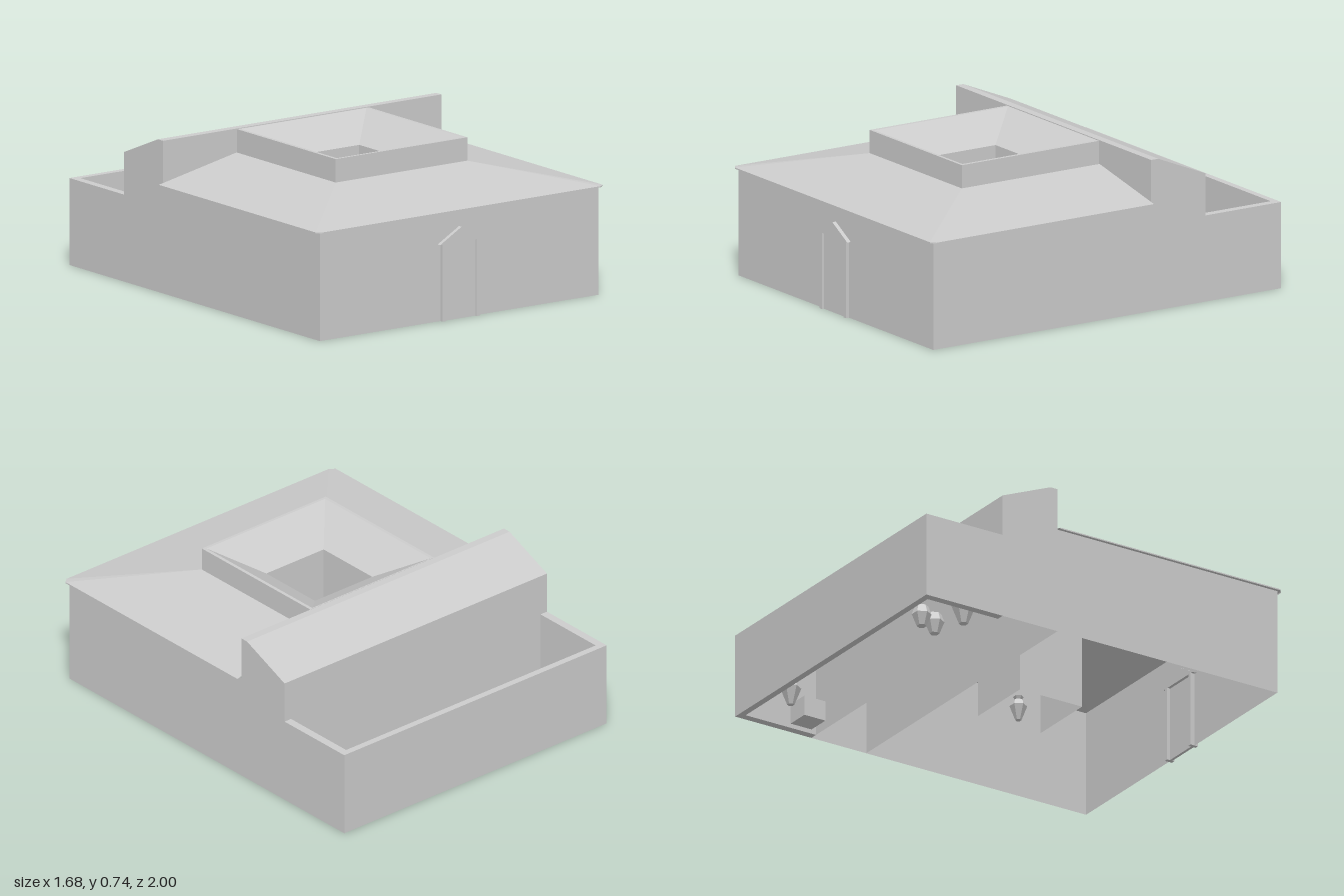
import * as THREE from 'three';

const mat = new THREE.MeshStandardMaterial({ color: 0xcccccc, flatShading: true, side: THREE.DoubleSide });

function add(parent, name, geometry, x = 0, y = 0, z = 0) {
  const mesh = new THREE.Mesh(geometry, mat);
  mesh.name = name;
  mesh.position.set(x, y, z);
  parent.add(mesh);
  return mesh;
}

// Skin a series of matching point chains with quads.
function loft(chains, closed) {
  const pos = [];
  for (let k = 0; k + 1 < chains.length; k++) {
    const a = chains[k], b = chains[k + 1], n = a.length;
    for (let i = 0; i < (closed ? n : n - 1); i++) {
      const j = (i + 1) % n;
      pos.push(...a[i], ...a[j], ...b[j], ...a[i], ...b[j], ...b[i]);
    }
  }
  const g = new THREE.BufferGeometry();
  g.setAttribute('position', new THREE.Float32BufferAttribute(pos, 3));
  g.computeVertexNormals();
  return g;
}

const rectRing = (hx, z0, z1, y) => [[-hx, y, z0], [-hx, y, z1], [hx, y, z1], [hx, y, z0]];
const polygon = (pts) => new THREE.Shape(pts.map(([x, y]) => new THREE.Vector2(x, y)));

// Six-sided jar, its profile scaled by radius and height.
function jar(parent, name, x, z, r, h, profile) {
  const pts = profile.map(([u, v]) => new THREE.Vector2(u * r, v * h));
  add(parent, name, new THREE.LatheGeometry(pts, 6, Math.PI / 6), x, 0, z);
}

export function createModel() {
  const house = new THREE.Group();
  house.name = 'courtyardHouse';
  const W = 0.815;

  // Side walls with the raised hall gable, mirrored
  const sideProfile = polygon([[0.98, 0], [0.98, 0.527], [-0.26, 0.527], [-0.26, 0.737],
    [-0.3, 0.737], [-0.57, 0.625], [-0.57, 0]]);
  for (const s of [-1, 1]) {
    const side = new THREE.Group();
    side.name = s < 0 ? 'rightWall' : 'leftWall';
    side.scale.x = -s;
    add(side, 'sideWall', new THREE.ShapeGeometry(sideProfile).rotateY(-Math.PI / 2), -W);
    house.add(side);
  }
  add(house, 'frontWall', new THREE.PlaneGeometry(2 * W, 0.527), 0, 0.2635, 0.98);

  // Rear hall: back wall, sloping roof, ridge and partition
  const hall = [[0, -0.57], [0.625, -0.57], [0.737, -0.3], [0.737, -0.26], [0, -0.26]];
  add(house, 'rearHall', loft([-W, W].map((x) => hall.map(([y, z]) => [x, y, z])), false));

  // Main roof, sloping up to the light well on three sides
  const eave = (y) => [[-0.84, y, -0.259], [-0.84, y, 0.98], [-0.815, y, 1], [0.815, y, 1], [0.84, y, 0.98], [0.84, y, -0.259]];
  const top = [[-0.385, 0.622, -0.259], [-0.385, 0.622, 0.525], [-0.385, 0.622, 0.525],
    [0.385, 0.622, 0.525], [0.385, 0.622, 0.525], [0.385, 0.622, -0.259]];
  add(house, 'mainRoof', loft([eave(0.522), eave(0.528), top], false));

  // Light well: raised collar, funnel and open shaft to the ground
  add(house, 'lightWell', loft([
    rectRing(0.385, -0.256, 0.525, 0.62), rectRing(0.385, -0.256, 0.525, 0.735),
    rectRing(0.368, -0.25, 0.51, 0.735), rectRing(0.178, 0.3 - 0.35, 0.3, 0.62),
    rectRing(0.178, -0.05, 0.3, 0),
  ], true));

  // Walled back yard, open to the sky
  const yard = polygon([[-W, 0.57], [-W, 1], [W, 1], [W, 0.57], [0.775, 0.57],
    [0.775, 0.967], [-0.775, 0.967], [-0.775, 0.57]]);
  add(house, 'yardWall', new THREE.ExtrudeGeometry(yard, { depth: 0.42, bevelEnabled: false }).rotateX(-Math.PI / 2));

  // Front door with posts and a gabled lintel
  const door = new THREE.Group();
  door.name = 'frontDoor';
  house.add(door);
  add(door, 'doorPanel', new THREE.BoxGeometry(0.18, 0.37, 0.014), 0, 0.185, 0.98);
  for (const s of [-1, 1]) add(door, 'doorPost', new THREE.BoxGeometry(0.02, 0.375, 0.04), s * 0.1, 0.1875, 0.978);
  const gable = polygon([[-0.125, 0.372], [0.125, 0.372], [0, 0.444]]);
  add(door, 'doorGable', new THREE.ExtrudeGeometry(gable, { depth: 0.04, bevelEnabled: false }), 0, 0, 0.96);

  // Jars and a block in the yard, one jar in the light well
  const amphora = [[0, 0], [0.35, 0], [1, 0.6], [0.85, 0.78], [0.4, 0.88], [0.6, 1], [0.45, 1], [0.25, 0.85], [0, 0.5]];
  const pot = [[0, 0], [0.5, 0], [1, 0.6], [0.7, 1], [0.55, 1], [0.55, 0.8], [0, 0.8]];
  jar(house, 'largeAmphora', -0.64, -0.675, 0.062, 0.17, amphora);
  jar(house, 'yardAmphora', 0.56, -0.855, 0.05, 0.14, amphora);
  jar(house, 'wellAmphora', 0.113, 0.133, 0.042, 0.12, amphora);
  jar(house, 'pot', -0.51, -0.825, 0.047, 0.1, pot);
  jar(house, 'pot', -0.473, -0.728, 0.047, 0.1, pot);
  add(house, 'yardBlock', new THREE.BoxGeometry(0.118, 0.1, 0.118), 0.677, 0.05, -0.68);

  return house;
}
